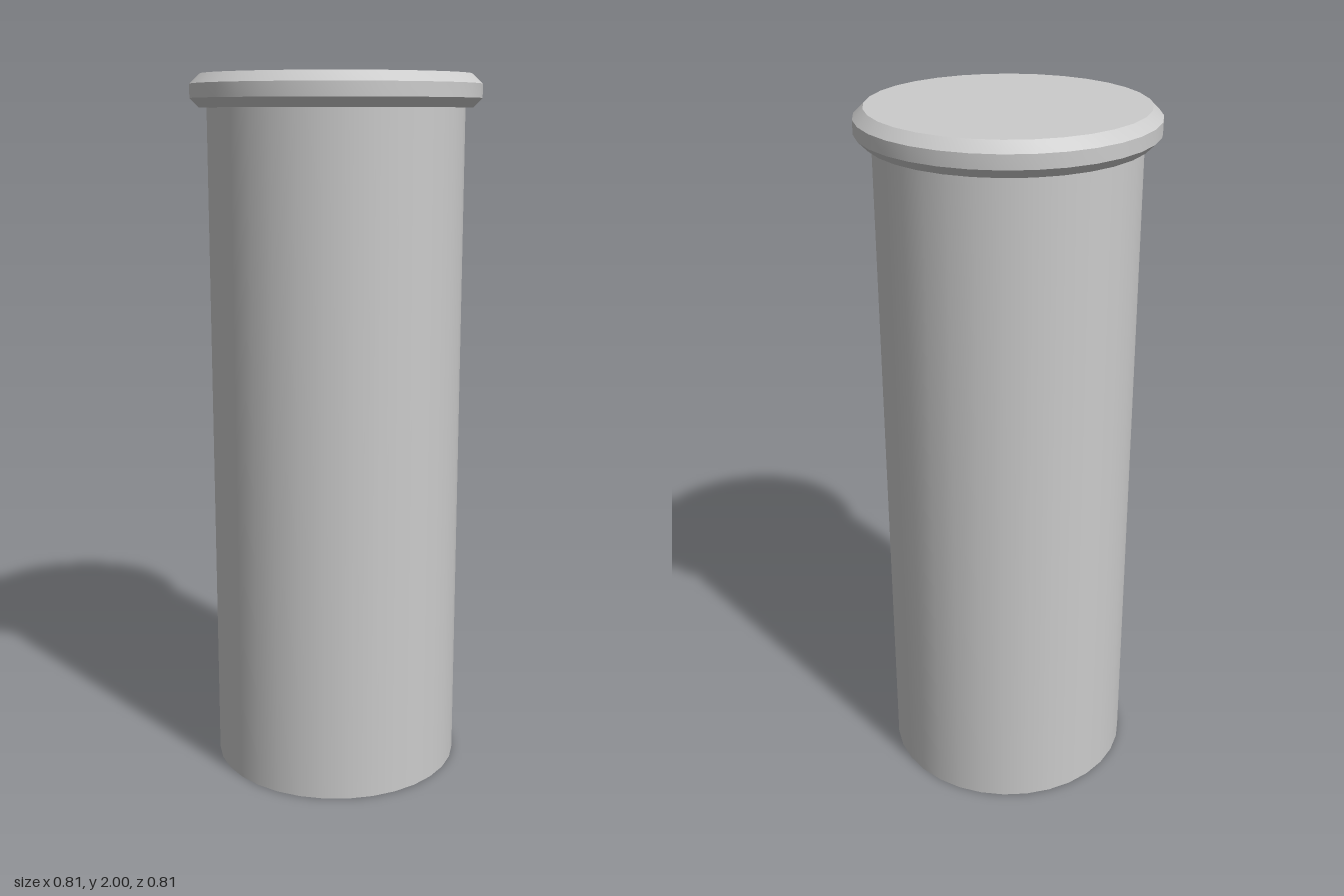
import * as THREE from 'three';
import { toCreasedNormals } from 'three/addons/utils/BufferGeometryUtils.js';

const SIDES = 32;
const RADIUS = 0.357;
const material = new THREE.MeshStandardMaterial({ color: 0xcccccc, side: THREE.DoubleSide });

export function createModel() {
  const group = new THREE.Group();
  group.name = 'cappedTube';

  // Straight tube, open at the bottom
  const tubeGeometry = new THREE.CylinderGeometry(RADIUS, RADIUS, 1.91, SIDES, 1, true);
  tubeGeometry.translate(0, 0.955, 0);
  const tube = new THREE.Mesh(tubeGeometry, material);
  tube.name = 'tube';
  group.add(tube);

  // Overhanging cap with chamfered rims, closed on top
  const profile = [
    [RADIUS, 1.91], [0.378, 1.91], [0.403, 1.935], [0.403, 1.973], [0.375, 2], [0, 2],
  ].map(([r, y]) => new THREE.Vector2(r, y));
  const cap = new THREE.Mesh(toCreasedNormals(new THREE.LatheGeometry(profile, SIDES), 0.5), material);
  cap.name = 'cap';
  group.add(cap);

  return group;
}
